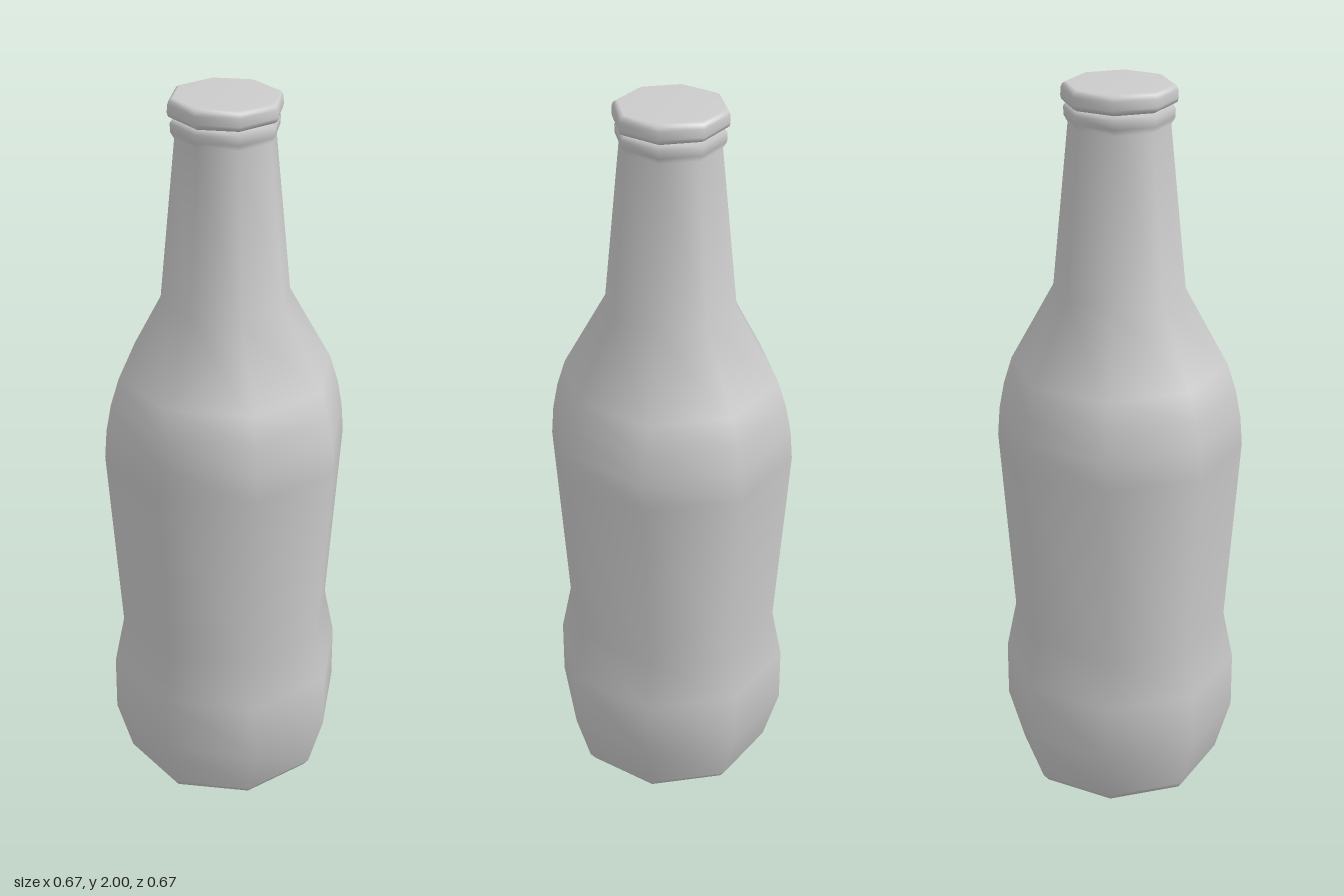
import * as THREE from 'three';

const SIDES = 8;

// Turns a [radius, height] profile into a smooth-shaded eight-sided solid.
function turned(name, profile) {
  const points = profile.map(([r, y]) => new THREE.Vector2(r, y));
  const mesh = new THREE.Mesh(
    new THREE.LatheGeometry(points, SIDES),
    new THREE.MeshStandardMaterial({ color: 0xcccccc })
  );
  mesh.name = name;
  return mesh;
}

export function createModel() {
  const group = new THREE.Group();
  group.name = 'bottle';

  // Base, lower bulge, waist, shoulder and neck
  group.add(turned('bottleBody', [
    [0, 0], [0.25, 0], [0.265, 0.008], [0.282, 0.03],
    [0.326, 0.18], [0.326, 0.34],
    [0.298, 0.48],
    [0.336, 1.01], [0.33, 1.09], [0.316, 1.165], [0.293, 1.24],
    [0.176, 1.455],
    [0.133, 1.895],
    // Collar under the cap
    [0.143, 1.912], [0.144, 1.935], [0.135, 1.95], [0, 1.95],
  ]));

  // Cap
  group.add(turned('cap', [
    [0, 1.947], [0.137, 1.947], [0.148, 1.953], [0.151, 1.963],
    [0.15, 1.984], [0.146, 1.994], [0.136, 2], [0, 2],
  ]));

  return group;
}
